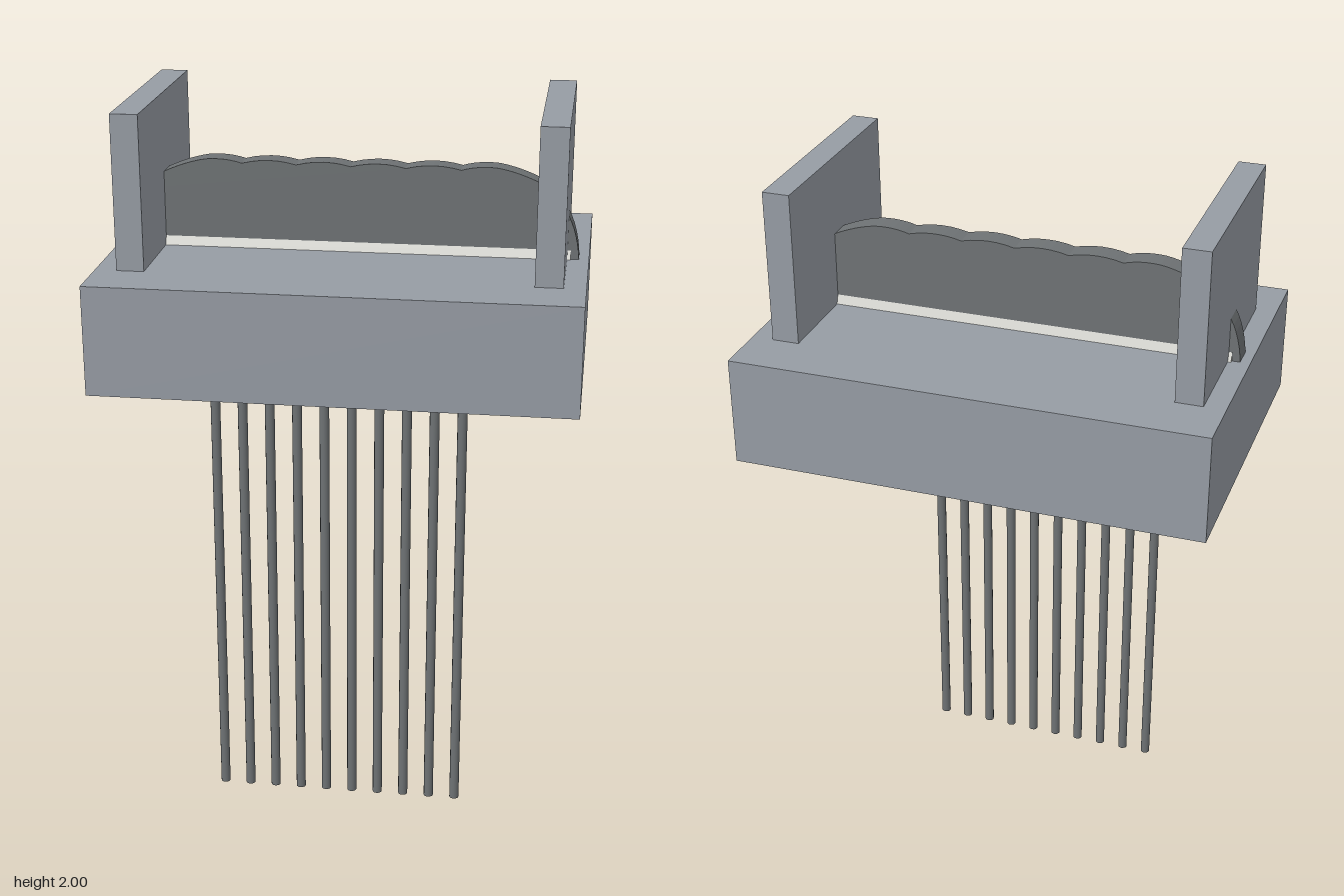
import * as THREE from 'three';

const mat = (name, color) => {
  const m = new THREE.MeshStandardMaterial({ color });
  m.name = name;
  return m;
};

export function createModel() {
  const housingGrey = mat('housing grey', 0x969ca4);
  const darkGrey = mat('dark grey', 0x6e7274);
  const paleMetal = mat('pale metal', 0xd2d2cc);

  const model = new THREE.Group();
  const add = (name, geometry, material, x = 0, y = 0, z = 0) => {
    const mesh = new THREE.Mesh(geometry, material);
    mesh.name = name;
    mesh.position.set(x, y, z);
    model.add(mesh);
  };

  // Base block and the two upright end walls
  add('base', new THREE.BoxGeometry(1.304, 0.302, 0.906), housingGrey, 0, 1.428, 0);
  for (const [side, name] of [[-1, 'rightWall'], [1, 'leftWall']]) {
    add(name, new THREE.BoxGeometry(0.075, 0.421, 0.602), housingGrey, side * 0.5555, 1.7895, 0);
  }

  // Centre plate: rounded ends and six shallow scallops along the top
  const outline = new THREE.Shape();
  outline.moveTo(-0.625, 1.575);
  outline.lineTo(0.625, 1.575);
  outline.quadraticCurveTo(0.62, 1.65, 0.593, 1.7);
  outline.quadraticCurveTo(0.565, 1.76, 0.515, 1.787);
  outline.quadraticCurveTo(0.455, 1.815, 0.4, 1.824);
  outline.quadraticCurveTo(0.345, 1.829, 0.3, 1.815);
  for (const x of [0.15, 0, -0.15, -0.3]) {
    outline.quadraticCurveTo(x + 0.075, 1.835, x, 1.815);
  }
  outline.quadraticCurveTo(-0.345, 1.829, -0.4, 1.824);
  outline.quadraticCurveTo(-0.455, 1.815, -0.515, 1.787);
  outline.quadraticCurveTo(-0.565, 1.76, -0.593, 1.7);
  outline.quadraticCurveTo(-0.62, 1.65, -0.625, 1.575);
  const plate = new THREE.ExtrudeGeometry(outline, { depth: 0.062, bevelEnabled: false, curveSegments: 6 });
  add('scallopedPlate', plate, darkGrey, 0, 0, -0.031);

  // Sloped strip along the foot of the plate on both sides
  const section = new THREE.Shape();
  section.moveTo(-0.041, 1.577);
  section.lineTo(0.041, 1.577);
  section.lineTo(0.031, 1.604);
  section.lineTo(-0.031, 1.604);
  section.closePath();
  const strip = new THREE.ExtrudeGeometry(section, { depth: 1.204, bevelEnabled: false });
  strip.translate(0, 0, -0.602).rotateY(Math.PI / 2);
  add('footStrip', strip, paleMetal);

  // Row of ten long pins below the base, near the front
  const pin = new THREE.CylinderGeometry(0.0135, 0.0135, 1.28, 12);
  for (let i = 0; i < 10; i++) {
    add('pin' + (i + 1), pin, darkGrey, -0.344 + i * 0.0755, 0.64, 0.255);
  }
  return model;
}
